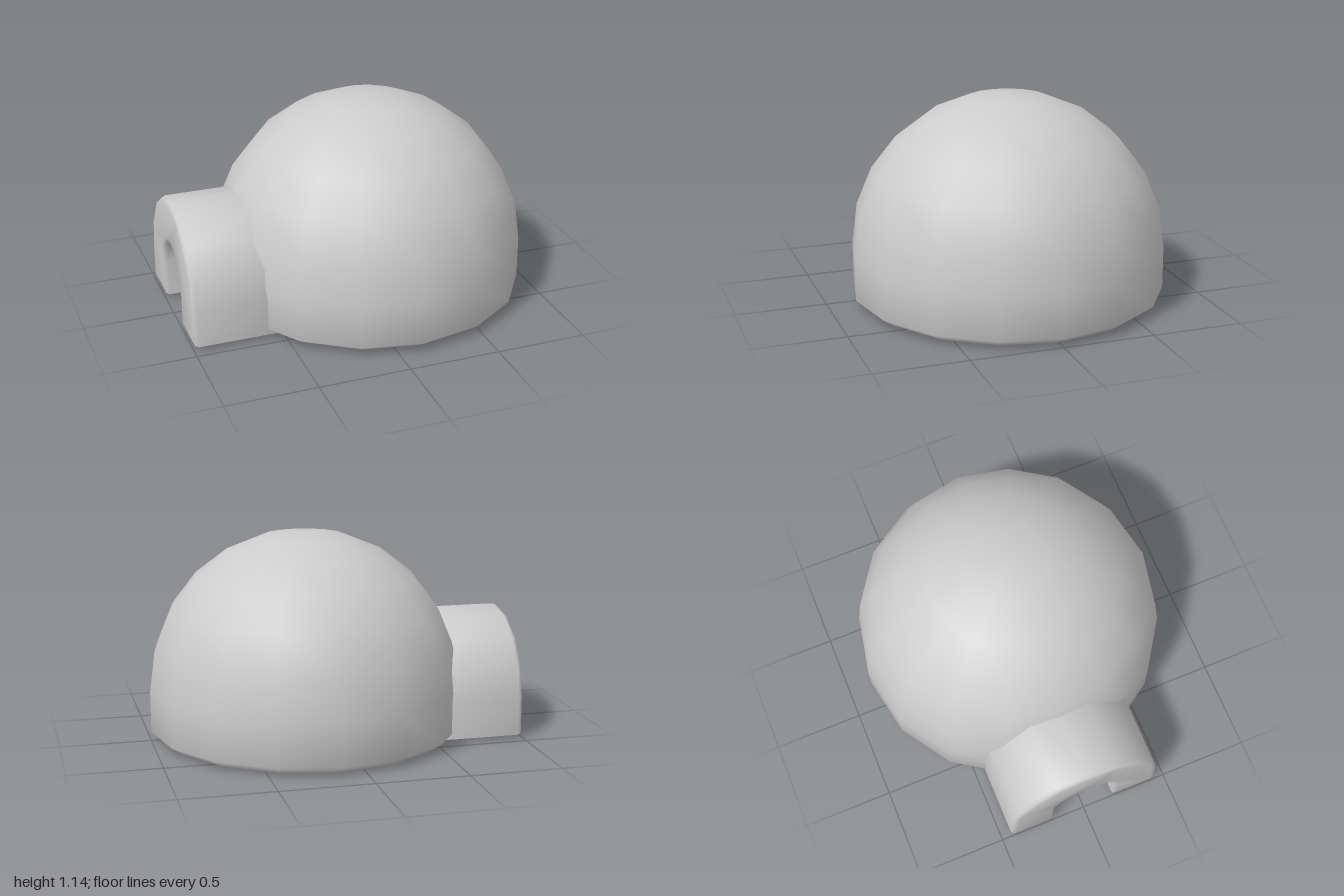
import * as THREE from 'three';
import { toCreasedNormals } from 'three/addons/utils/BufferGeometryUtils.js';

const CX = 0.136, SPRING = 0.277; // dome axis, height where the wall starts to curve
const mat = new THREE.MeshStandardMaterial({ color: 0xcccccc, side: THREE.DoubleSide });

function add(parent, name, geometry) {
  const mesh = new THREE.Mesh(geometry, mat);
  mesh.name = name;
  parent.add(mesh);
}

// 16-sided dome shell: inner wall, base ring and outer wall in one profile
function shellGeometry() {
  const arc = (r) => Array.from({ length: 7 }, (_, i) => {
    const a = (i * Math.PI) / 12;
    return new THREE.Vector2(i === 6 ? 0 : r * Math.cos(a), SPRING + r * Math.sin(a));
  });
  const points = [
    ...arc(0.65).reverse(),
    new THREE.Vector2(0.64, 0.03), new THREE.Vector2(0.6, 0),
    new THREE.Vector2(0.79, 0), new THREE.Vector2(0.864, 0.05),
    ...arc(0.864),
  ];
  const geo = new THREE.LatheGeometry(points, 16);
  const rows = points.length - 1, kept = [], index = geo.index.array;
  // Smooth crown
  for (let i = 0; i <= 16; i++) geo.attributes.normal.setXYZ(i * points.length + rows, 0, 1, 0);
  // Leave out the two low segments on the -x side for the doorway
  for (let i = 0; i < 16; i++) {
    for (let j = 0; j < rows; j++) {
      const low = Math.max(points[j].y, points[j + 1].y) < 0.51;
      if (low && (i === 11 || i === 12)) continue;
      const k = (i * rows + j) * 6;
      kept.push(...index.slice(k, k + 6));
    }
  }
  geo.setIndex(kept);
  return geo;
}

// Pillow-shaped block on the inner wall: angles a0..a1 from the door, t0..t1 up the wall
function brickGeometry(a0, a1, t0, t1) {
  const geo = new THREE.PlaneGeometry(1, 1, 8, 6), pos = geo.attributes.position;
  const R = 0.6, bevel = 0.025;
  const place = (i, n, from, to, edge) => {
    if (i === 0) return from;
    if (i === n) return to;
    return from + edge + ((to - from - 2 * edge) * (i - 1)) / (n - 2);
  };
  for (let j = 0; j <= 6; j++) {
    for (let i = 0; i <= 8; i++) {
      const a = place(i, 8, a0, a1, Math.min(bevel / R, (a1 - a0) / 5));
      const t = place(j, 6, t0, t1, bevel);
      const r = R + (i % 8 === 0 || j % 6 === 0 ? 0.045 : 0);
      const e = Math.max(0, t - SPRING) / R;
      const flat = r * Math.cos(e);
      pos.setXYZ(j * 9 + i, -flat * Math.cos(a), Math.min(t, SPRING) + r * Math.sin(e), flat * Math.sin(a));
    }
  }
  geo.computeVertexNormals();
  return geo;
}

// Round arch on two legs, running from x = near out to x = far
function archGeometry(outer, inner, near, far, b) {
  const base = 0.018, spring = 0.23;
  const shape = new THREE.Shape();
  shape.moveTo(outer, base);
  for (let i = 0; i <= 8; i++) {
    const a = (i * Math.PI) / 8;
    shape.lineTo(outer * Math.cos(a), spring + outer * Math.sin(a));
  }
  shape.lineTo(-outer, base);
  shape.lineTo(-inner, base);
  for (let i = 8; i >= 0; i--) {
    const a = (i * Math.PI) / 8;
    shape.lineTo(inner * Math.cos(a), spring + inner * Math.sin(a));
  }
  shape.lineTo(inner, base);
  const geo = new THREE.ExtrudeGeometry(shape, {
    depth: near - far - 2 * b, bevelEnabled: true, bevelThickness: b,
    bevelSize: b, bevelOffset: -b, bevelSegments: 2,
  });
  geo.translate(0, 0, b - near);
  geo.rotateY(-Math.PI / 2);
  return toCreasedNormals(geo, 0.9);
}

export function createModel() {
  const model = new THREE.Group();
  model.name = 'igloo';

  const dome = new THREE.Group();
  dome.name = 'dome';
  dome.position.x = CX;
  model.add(dome);
  add(dome, 'domeShell', shellGeometry());

  // Staggered courses of snow blocks lining the inside
  const bricks = new THREE.Group();
  bricks.name = 'innerBricks';
  dome.add(bricks);
  const levels = [0, 0.19, 0.45, 0.71, 0.97, SPRING + 0.3 * Math.PI];
  const counts = [10, 10, 10, 8, 5];
  counts.forEach((n, row) => {
    const step = (2 * Math.PI) / n;
    const shift = Math.PI / 20 - (row % 2 ? step : step / 2);
    const door = row < 2 ? 0.45 : -Infinity; // lower courses stop at the doorway
    for (let i = 0; i < (row < 2 ? n + 1 : n); i++) {
      const a0 = Math.max(shift + i * step, door);
      const a1 = Math.min(shift + (i + 1) * step, 2 * Math.PI - door);
      if (a1 - a0 > 0.06) add(bricks, 'brick', brickGeometry(a0, a1, levels[row], levels[row + 1]));
    }
  });

  // Entrance, and the band framing the doorway inside the dome
  add(model, 'entranceTunnel', archGeometry(0.44, 0.18, -0.52, -1, 0.025));
  add(model, 'doorFrame', archGeometry(0.33, 0.24, -0.38, -0.54, 0.015));
  return model;
}
